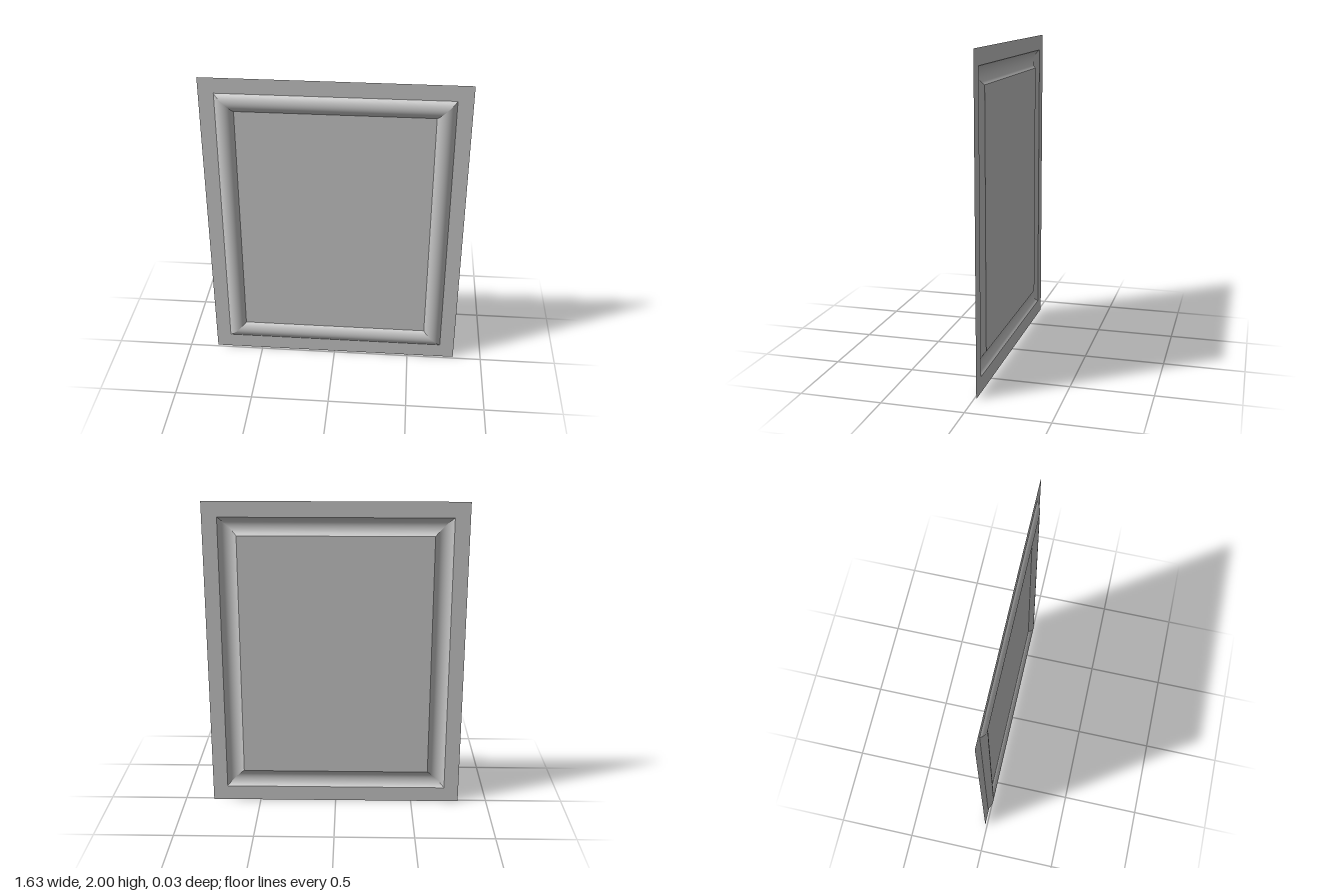
import * as THREE from 'three';

const W = 0.813, H = 1;          // half size of the sheet
const OX = 0.719, OY = 0.902;    // half size of the moulding's outer edge
const BAND = 0.114;              // moulding width
const RISE = 0.027;              // moulding height
const BACK = -RISE / 2;          // plane of the flat sheet

const material = new THREE.MeshStandardMaterial({ color: 0xcccccc, side: THREE.DoubleSide });

function rectangle(PathType, hw, hh) {
  return new PathType([[-hw, -hh], [hw, -hh], [hw, hh], [-hw, hh]].map(([x, y]) => new THREE.Vector2(x, y)));
}

// One mitred side: an arc-shaped profile swept between the two corner diagonals
function mouldingSide(halfLength, distance) {
  const steps = 24, half = BAND / 2;
  const radius = (half * half + RISE * RISE) / (2 * RISE);
  const edge = Math.asin(half / radius);
  const positions = [], normals = [], index = [];
  for (let i = 0; i <= steps; i++) {
    const a = -edge + (2 * edge * i) / steps;
    const inset = half + radius * Math.sin(a);
    const z = BACK + RISE - radius * (1 - Math.cos(a));
    for (const s of [-1, 1]) {
      positions.push(s * (halfLength - inset), distance - inset, z);
      normals.push(0, -Math.sin(a), Math.cos(a));
    }
    if (i < steps) {
      const k = i * 2;
      index.push(k, k + 2, k + 1, k + 1, k + 2, k + 3);
    }
  }
  const geometry = new THREE.BufferGeometry();
  geometry.setAttribute('position', new THREE.Float32BufferAttribute(positions, 3));
  geometry.setAttribute('normal', new THREE.Float32BufferAttribute(normals, 3));
  geometry.setIndex(index);
  return geometry;
}

export function createModel() {
  const model = new THREE.Group();
  model.name = 'mouldedPanel';
  const add = (name, geometry, z = 0, turn = 0) => {
    const mesh = new THREE.Mesh(geometry, material);
    mesh.name = name;
    mesh.position.set(0, H, z);
    mesh.rotation.z = turn;
    model.add(mesh);
  };

  // Flat border around the moulding
  const border = rectangle(THREE.Shape, W, H);
  border.holes.push(rectangle(THREE.Path, OX, OY));
  add('outerBorder', new THREE.ShapeGeometry(border), BACK);

  // Flat field inside the moulding
  add('centrePanel', new THREE.PlaneGeometry(2 * (OX - BAND), 2 * (OY - BAND)), BACK);

  // Four raised sides, hollow from behind
  ['mouldingTop', 'mouldingRight', 'mouldingBottom', 'mouldingLeft'].forEach((name, i) => {
    const geometry = i % 2 ? mouldingSide(OY, OX) : mouldingSide(OX, OY);
    add(name, geometry, 0, (i * Math.PI) / 2);
  });
  return model;
}
